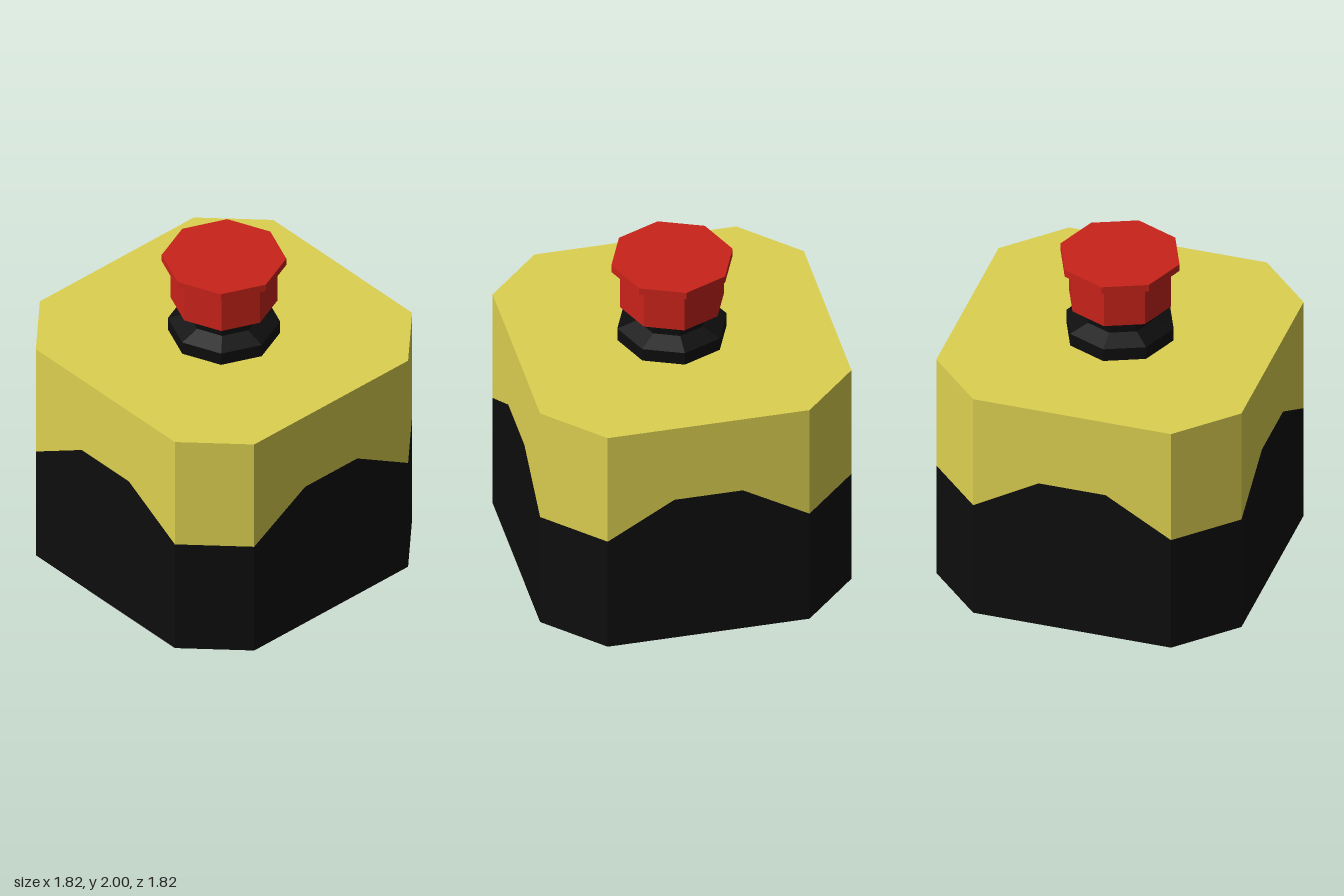
import * as THREE from 'three';

const BLACK = new THREE.MeshStandardMaterial({ color: 0x0d0d0d, flatShading: true });
const YELLOW = new THREE.MeshStandardMaterial({ color: 0xdcd050, flatShading: true });
const RED = new THREE.MeshStandardMaterial({ color: 0xc8231a, flatShading: true });

const HALF = 0.91, CORNER = 0.59, HEIGHT = 1.47;
const SEAM_LOW = 0.74, SEAM_HIGH = 0.97;

// Outline of the chamfered square, with the seam height at each point
function housingOutline() {
  const side = [[-CORNER, SEAM_LOW], [-0.2, SEAM_HIGH], [0.2, SEAM_HIGH], [CORNER, SEAM_LOW]];
  const points = [];
  for (let k = 0; k < 4; k++) {
    for (const [x, seam] of side) {
      const p = new THREE.Vector3(x, 0, HALF).applyAxisAngle(new THREE.Vector3(0, 1, 0), k * Math.PI / 2);
      points.push({ x: p.x, z: p.z, seam });
    }
  }
  return points;
}

// Walls between two heights, closed by a flat cap at the bottom or the top
function housingPart(name, material, low, high, capTop) {
  const outline = housingOutline();
  const pos = [];
  outline.forEach((p, i) => {
    const q = outline[(i + 1) % outline.length];
    const a = [p.x, low(p), p.z], b = [q.x, low(q), q.z];
    const c = [q.x, high(q), q.z], d = [p.x, high(p), p.z];
    pos.push(...a, ...b, ...c, ...a, ...c, ...d);
    if (capTop) pos.push(0, HEIGHT, 0, ...d, ...c);
    else pos.push(0, 0, 0, ...b, ...a);
  });
  const geometry = new THREE.BufferGeometry();
  geometry.setAttribute('position', new THREE.Float32BufferAttribute(pos, 3));
  geometry.computeVertexNormals();
  const mesh = new THREE.Mesh(geometry, material);
  mesh.name = name;
  return mesh;
}

// Eight-sided turned part from [radius, height] pairs, bottom to top
function turned(name, material, profile) {
  const points = profile.map(([r, y]) => new THREE.Vector2(r, y));
  const mesh = new THREE.Mesh(new THREE.LatheGeometry(points, 8), material);
  mesh.name = name;
  return mesh;
}

export function createModel() {
  const model = new THREE.Group();
  model.name = 'pushButtonBox';
  model.add(
    // Housing halves meeting at the stepped seam
    housingPart('lowerHousing', BLACK, () => 0, p => p.seam, false),
    housingPart('upperHousing', YELLOW, p => p.seam, () => HEIGHT, true),
    // Collar and neck under the button
    turned('collar', BLACK, [[0, HEIGHT], [0.32, HEIGHT], [0.32, 1.55], [0.205, 1.59], [0.205, 1.7]]),
    // Button with a flared lip
    turned('button', RED, [[0, 1.7], [0.305, 1.7], [0.305, 1.925], [0.355, 1.955], [0.355, 2], [0, 2]])
  );
  return model;
}
